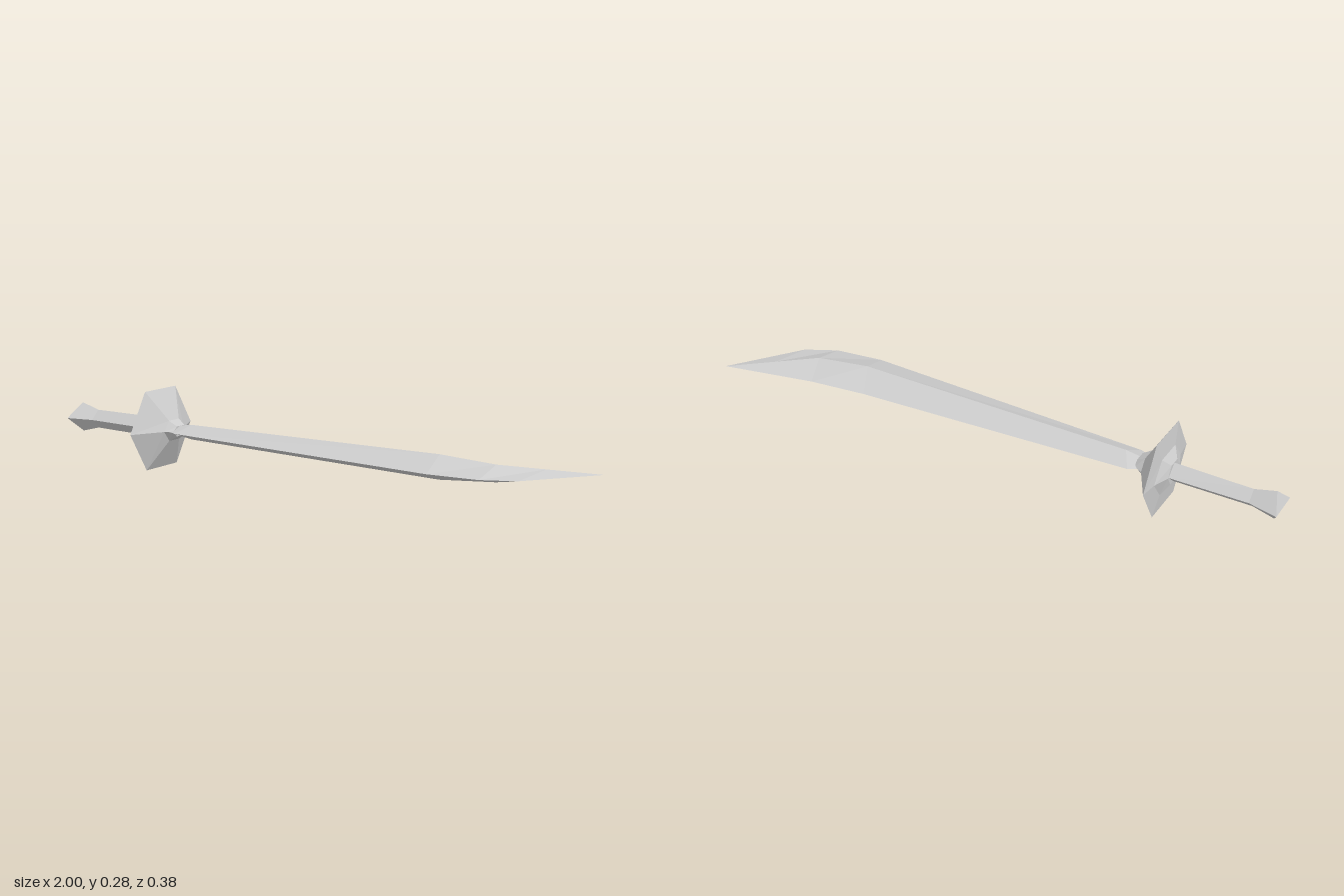
import * as THREE from 'three';

const MID_Y = 0.14; // height of the sword's flat plane
const AXIS_Z = 0.026; // centre line of the hilt

// Skin a list of equal-length point rings running towards +x
function loft(rings, material, name) {
  const pos = [];
  const tri = (a, b, c) => {
    const ab = new THREE.Vector3().subVectors(b, a);
    const ac = new THREE.Vector3().subVectors(c, a);
    if (ab.cross(ac).length() < 1e-9) return;
    for (const p of [a, b, c]) pos.push(p.x, p.y, p.z);
  };
  for (let k = 0; k < rings.length - 1; k++) {
    const a = rings[k], b = rings[k + 1], n = a.length;
    for (let i = 0; i < n; i++) {
      const j = (i + 1) % n;
      tri(a[i], a[j], b[i]);
      tri(a[j], b[j], b[i]);
    }
  }
  // End caps
  const first = rings[0], last = rings[rings.length - 1];
  for (let i = 1; i < first.length - 1; i++) {
    tri(first[0], first[i + 1], first[i]);
    tri(last[0], last[i], last[i + 1]);
  }
  const geometry = new THREE.BufferGeometry();
  geometry.setAttribute('position', new THREE.Float32BufferAttribute(pos, 3));
  geometry.computeVertexNormals();
  const mesh = new THREE.Mesh(geometry, material);
  mesh.name = name;
  return mesh;
}

// Diamond section: back edge, upper ridge, front edge, lower ridge
function diamond([backX, backZ], [ridgeX, ridgeZ, h], [frontX, frontZ]) {
  return [
    new THREE.Vector3(backX, MID_Y, backZ),
    new THREE.Vector3(ridgeX, MID_Y + h, ridgeZ),
    new THREE.Vector3(frontX, MID_Y, frontZ),
    new THREE.Vector3(ridgeX, MID_Y - h, ridgeZ),
  ];
}

// Symmetric diamond around the hilt axis
const hiltDiamond = (edgeX, ridgeX, halfZ, halfY) =>
  diamond([edgeX, AXIS_Z - halfZ], [ridgeX, AXIS_Z, halfY], [edgeX, AXIS_Z + halfZ]);

// Hexagon section with corners on the front and back
function hexagon(x, halfZ, halfY) {
  return [[-1, 0], [-0.5, 1], [0.5, 1], [1, 0], [0.5, -1], [-0.5, -1]].map(
    ([z, y]) => new THREE.Vector3(x, MID_Y + y * halfY, AXIS_Z + z * halfZ));
}

export function createModel() {
  const steel = new THREE.MeshStandardMaterial({ color: 0xcccccc });
  steel.name = 'pale grey';
  steel.flatShading = true;

  const sword = new THREE.Group();
  sword.name = 'curvedSword';

  // Grip with its flared pommel
  sword.add(loft([
    hiltDiamond(-1.0, -0.975, 0.058, 0.053),
    hiltDiamond(-0.9, -0.9, 0.034, 0.033),
    hiltDiamond(-0.62, -0.62, 0.039, 0.036),
  ], steel, 'gripAndPommel'));

  // Hexagonal hand guard
  sword.add(loft([
    hexagon(-0.63, 0.043, 0.037),
    hexagon(-0.608, 0.1, 0.068),
    hexagon(-0.6, 0.163, 0.14),
    hexagon(-0.54, 0.053, 0.036),
    hexagon(-0.51, 0.04, 0.018),
  ], steel, 'handGuard'));

  // Curved blade widening from its narrow root to a swept tip
  sword.add(loft([
    diamond([-0.53, -0.014], [-0.53, AXIS_Z, 0.015], [-0.53, 0.066]),
    diamond([-0.495, -0.035], [-0.46, 0.025, 0.026], [-0.49, 0.083]),
    diamond([0.48, -0.095], [0.53, 0.007, 0.041], [0.55, 0.12]),
    diamond([0.68, -0.12], [0.72, -0.015, 0.028], [0.72, 0.096]),
    diamond([0.84, -0.155], [0.85, -0.096, 0.015], [0.825, 0.042]),
    diamond([1, -0.19], [1, -0.19, 0], [1, -0.19]),
  ], steel, 'blade'));

  return sword;
}
